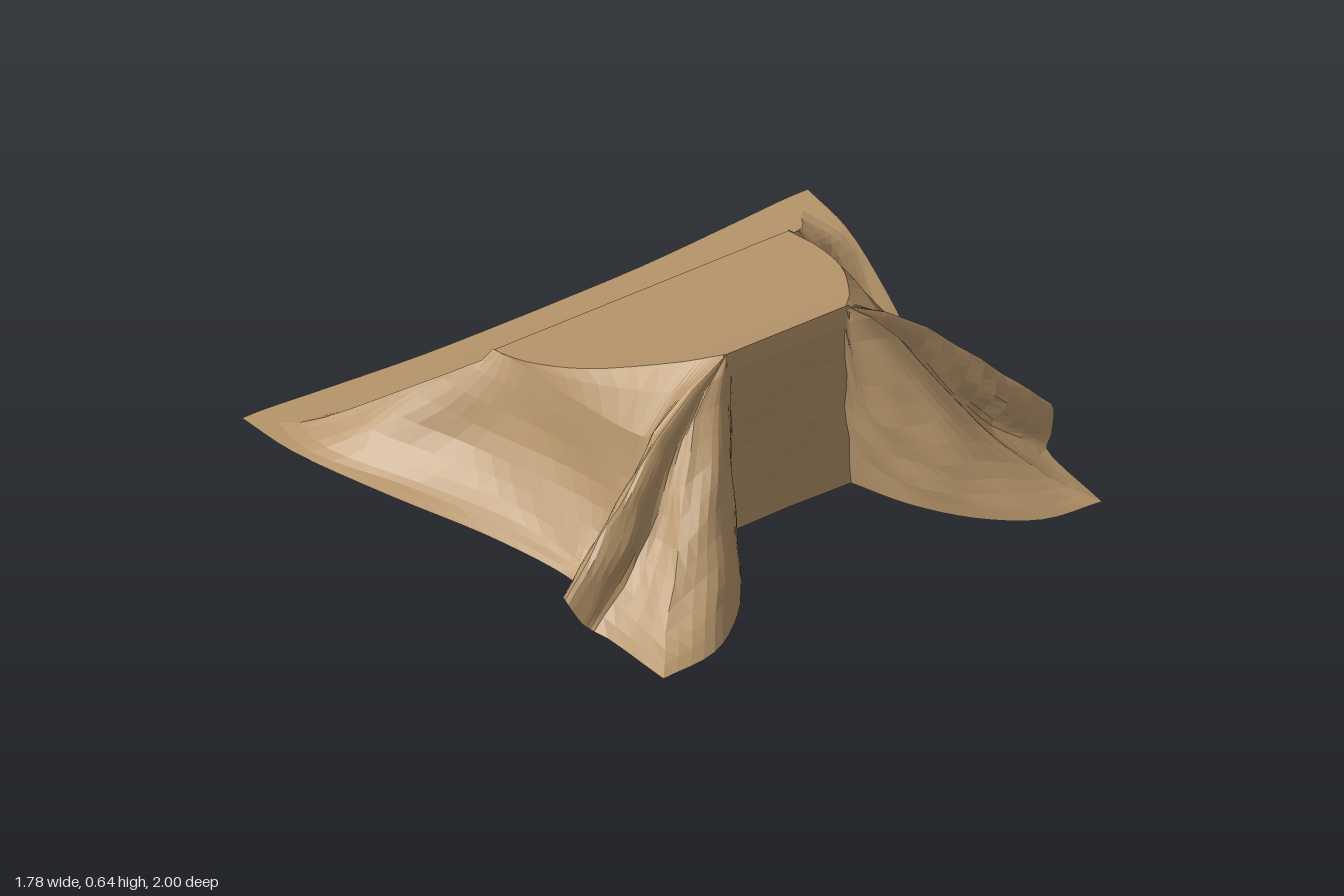
import * as THREE from 'three';
import { RoundedBoxGeometry } from 'three/addons/geometries/RoundedBoxGeometry.js';

// Spokes of the cloth on the +z half, each a path from the box edge to the hem.
// Each group is a smooth sheet; the cloth is creased where groups meet.
const BACK = [
  [[-0.28, 0.38, 0], [-0.47, 0.2, 0], [-0.66, 0.06, 0], [-0.79, 0.003, 0], [-0.845, 0, 0]],
  [[-0.28, 0.38, 0.3], [-0.47, 0.2, 0.31], [-0.66, 0.06, 0.33], [-0.8, 0.003, 0.37], [-0.85, 0, 0.38]],
  [[-0.28, 0.38, 0.48], [-0.46, 0.19, 0.53], [-0.65, 0.06, 0.6], [-0.8, 0.003, 0.69], [-0.875, 0, 0.74]],
  [[-0.28, 0.38, 0.51], [-0.45, 0.21, 0.59], [-0.63, 0.075, 0.7], [-0.79, 0.003, 0.84], [-0.89, 0, 0.93]],
];
// Back corner fold and side sheet
const SIDE = [
  [[-0.28, 0.38, 0.52], [-0.46, 0.235, 0.66], [-0.64, 0.09, 0.8], [-0.79, 0.003, 0.91], [-0.89, 0, 1]],
  [[-0.28, 0.38, 0.52], [-0.38, 0.23, 0.65], [-0.52, 0.09, 0.8], [-0.62, 0.01, 0.93], [-0.67, 0, 0.98]],
  [[-0.16, 0.395, 0.515], [-0.22, 0.16, 0.62], [-0.29, 0.03, 0.78], [-0.32, 0, 0.88]],
  [[0.05, 0.4, 0.5], [0.03, 0.18, 0.57], [0.01, 0.04, 0.69], [0, 0, 0.77]],
  [[0.3, 0.41, 0.47], [0.29, 0.2, 0.54], [0.26, 0.04, 0.65], [0.25, 0, 0.71]],
  [[0.36, 0.42, 0.455], [0.36, 0.2, 0.54], [0.355, 0.04, 0.65], [0.35, 0, 0.7]],
];
// Narrow fold standing up beside the front ridge
const FOLD = [
  [[0.41, 0.47, 0.47], [0.41, 0.22, 0.6], [0.41, 0, 0.7]],
  [[0.425, 0.47, 0.47], [0.43, 0.25, 0.64], [0.44, 0.04, 0.8]],
  [[0.445, 0.48, 0.475], [0.485, 0.28, 0.68], [0.52, 0.1, 0.86]],
  [[0.46, 0.45, 0.46], [0.53, 0.22, 0.65], [0.562, 0.03, 0.83]],
  [[0.46, 0.43, 0.42], [0.53, 0.16, 0.6], [0.58, 0, 0.8]],
];
// Flap pulled out to the front corner, with its steep inner side
const FLAP = [
  [[0.46, 0.5, 0.36], [0.6, 0.25, 0.51], [0.76, 0.06, 0.67], [0.89, 0, 0.775]],
  [[0.47, 0.53, 0.28], [0.6, 0.33, 0.38], [0.74, 0.13, 0.48], [0.87, 0.003, 0.58]],
  [[0.45, 0.53, 0.24], [0.56, 0.31, 0.3], [0.67, 0.13, 0.36], [0.76, 0.01, 0.42]],
  [[0.43, 0.52, 0.215], [0.48, 0.3, 0.245], [0.54, 0.14, 0.27], [0.6, 0.02, 0.295]],
];
// Hanging front end
const FRONT = [
  [[0.42, 0.58, 0.2], [0.42, 0.3, 0.205], [0.43, 0.03, 0.215]],
  [[0.42, 0.58, 0], [0.42, 0.3, 0], [0.425, 0.03, 0]],
];

const DOWN = 10, ACROSS = 4;

// Points of one spoke: top centre line, shoulder, rounded-over edge, curve to the hem
function spokePoints(path) {
  const edge = path[0], x = Math.min(edge[0], 0.41), t = (x + 0.28) / 0.69;
  const y = 0.38 + 0.26 * t - 0.09 * t * (1 - t);
  const z = Math.min(edge[2], 0.52 - 0.31 * t * t);
  const curve = new THREE.CatmullRomCurve3(path.map(p => new THREE.Vector3(...p)));
  const over = new THREE.Vector3((x + edge[0]) / 2, y - 0.4 * (y - edge[1]), (z + edge[2]) / 2);
  return [new THREE.Vector3(x, y, 0), new THREE.Vector3(x, y, z), over, ...curve.getPoints(DOWN)];
}

// All columns of the +z half, smoothed across each group
function halfColumns() {
  const groups = [BACK, SIDE, FOLD, FLAP, FRONT].map(g => g.map(spokePoints));
  const columns = [];
  groups.forEach((g, k) => {
    const sheet = groups[k + 1] ? [...g, groups[k + 1][0]] : g;
    const rows = sheet[0].map((_, j) => new THREE.CatmullRomCurve3(sheet.map(s => s[j])));
    const n = (sheet.length - 1) * ACROSS;
    for (let i = 0; i < n; i++) columns.push(rows.map(r => r.getPoint(i / n)));
  });
  columns.push(groups.at(-1).at(-1));
  return columns;
}

function clothGeometry() {
  const half = halfColumns();
  const mirrored = half.slice(1, -1).reverse()
    .map(col => col.map(p => new THREE.Vector3(p.x, p.y, -p.z)));
  const columns = [...half, ...mirrored];
  const n = columns.length, rows = columns[0].length;
  const positions = [], index = [];
  columns.forEach((col, i) => col.forEach((p, j) => {
    // slight unevenness between edge and hem
    const amp = 0.004 * Math.sin(Math.PI * Math.max(0, (j - 3) / DOWN));
    positions.push(p.x + amp * Math.sin(i * 0.9 + j * 1.3), Math.max(0, p.y), p.z + amp * Math.sin(i * 0.7 - j * 1.6));
    if (j < rows - 1) {
      const c = i * rows + j, d = ((i + 1) % n) * rows + j;
      index.push(c, c + 1, d + 1, c, d + 1, d);
    }
  }));
  const g = new THREE.BufferGeometry();
  g.setAttribute('position', new THREE.Float32BufferAttribute(positions, 3));
  g.setIndex(index);
  g.computeVertexNormals();
  return g;
}

export function createModel() {
  const group = new THREE.Group();
  const clothMat = new THREE.MeshStandardMaterial({ color: 0xb5946a, flatShading: true, side: THREE.DoubleSide });
  const grey = new THREE.MeshStandardMaterial({ color: 0xcccccc });

  const cloth = new THREE.Mesh(clothGeometry(), clothMat);
  cloth.name = 'drapedCloth';
  group.add(cloth);

  // Boxy object hidden under the cloth
  const block = (name, w, h, d, x, y, z) => {
    const m = new THREE.Mesh(new RoundedBoxGeometry(w, h, d, 3, 0.015), grey);
    m.position.set(x, y + h / 2, z);
    m.name = name;
    group.add(m);
  };
  block('body', 0.6, 0.36, 0.92, 0.06, 0.003, 0);
  block('rearStep', 0.22, 0.1, 0.5, -0.33, 0.003, 0);
  block('frontPanel', 0.06, 0.5, 0.36, 0.36, 0.08, 0);
  block('sideKnob', 0.08, 0.1, 0.1, 0.31, 0.03, 0.48);
  return group;
}
